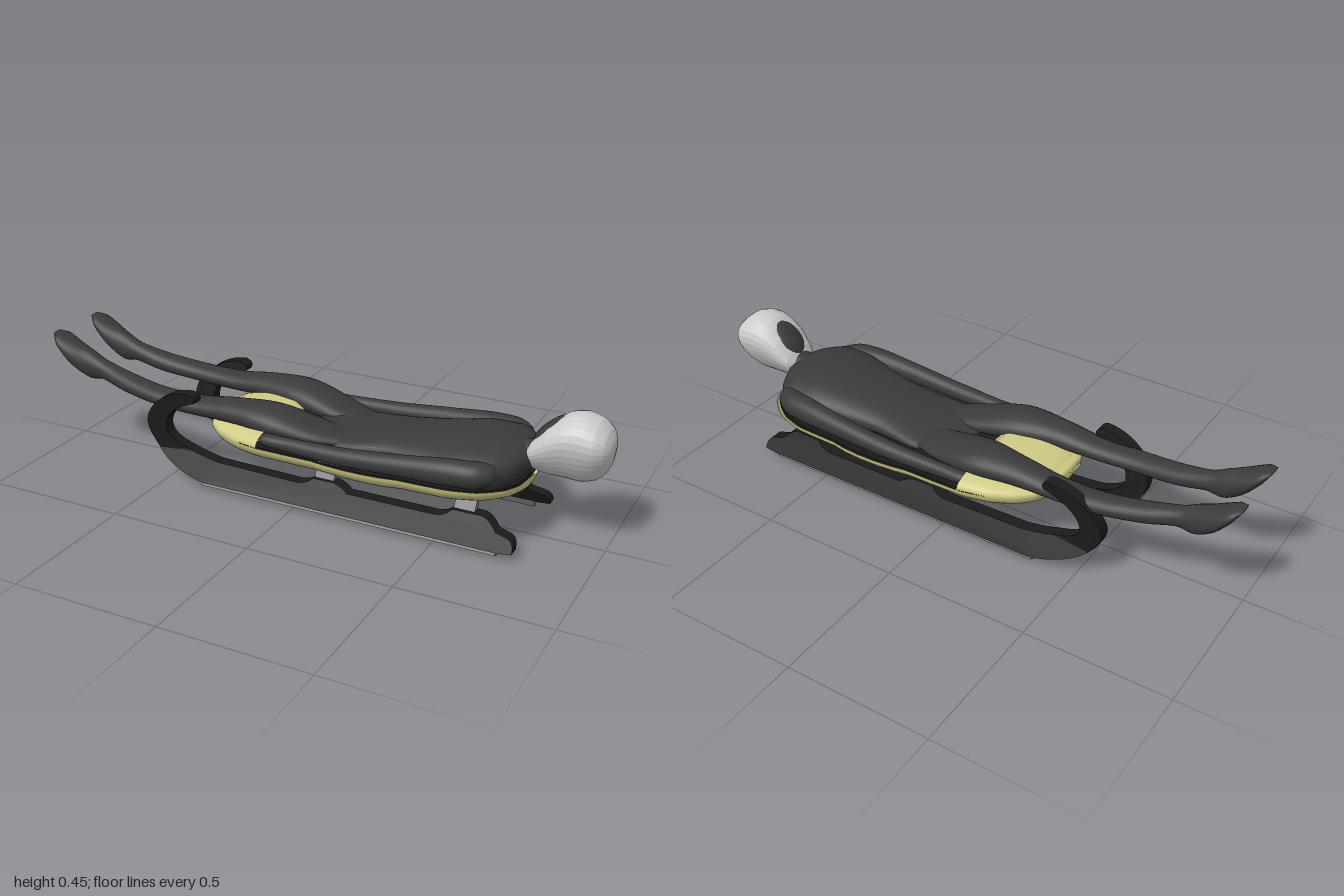
import * as THREE from 'three';

const mat = (color, extra = {}) => new THREE.MeshStandardMaterial({ color, ...extra });
const SUIT = mat(0x3a3a3a);
const BLACK = mat(0x1c1c1c, { side: THREE.DoubleSide });
const TAN = mat(0xcfcb86, { side: THREE.DoubleSide });
const STEEL = mat(0x808080);
const SHELL = mat(0xcccccc, { flatShading: true });

// Lofts ellipse sections [x, y, z, halfHeight, halfWidth] lying along x.
// from/to limit the arc; egg narrows the underside; power squares the section.
function loft(sections, { from = 0, to = Math.PI * 2, seg = 28, steps = 5, egg = 0, power = 2 } = {}) {
  const centre = new THREE.CatmullRomCurve3(sections.map(s => new THREE.Vector3(s[0], s[1], s[2])));
  const radius = new THREE.CatmullRomCurve3(sections.map(s => new THREE.Vector3(s[3], s[4], 0)));
  const closed = to - from > 6.28;
  const cols = closed ? seg : seg + 1;
  const rows = (sections.length - 1) * steps;
  const pos = [], idx = [];
  const round = v => Math.sign(v) * Math.abs(v) ** (2 / power);
  for (let i = 0; i <= rows; i++) {
    const c = centre.getPoint(i / rows), r = radius.getPoint(i / rows);
    for (let j = 0; j < cols; j++) {
      const a = from + (to - from) * j / seg;
      const s = round(Math.sin(a)), k = round(Math.cos(a));
      pos.push(c.x, c.y + Math.max(r.x, 0) * s, c.z + Math.max(r.y, 0) * k * (1 + egg * s));
    }
  }
  for (let i = 0; i < rows; i++) {
    for (let j = 0; j < seg; j++) {
      const a = i * cols + j, b = i * cols + (j + 1) % cols;
      idx.push(a, a + cols, b, b, a + cols, b + cols);
    }
  }
  // Close both ends of a full loft
  if (closed) {
    for (let j = 1; j < seg - 1; j++) {
      const e = rows * cols;
      idx.push(0, j, j + 1, e, e + j + 1, e + j);
    }
  }
  const g = new THREE.BufferGeometry();
  g.setAttribute('position', new THREE.Float32BufferAttribute(pos, 3));
  g.setIndex(idx);
  g.computeVertexNormals();
  return g;
}

// Side outline of one runner: curled bow, flat body, two raised mounts
function runnerGeometry() {
  const s = new THREE.Shape();
  s.moveTo(0.765, 0.03);
  s.quadraticCurveTo(0.765, 0.065, 0.74, 0.07);
  s.lineTo(0.70, 0.08);
  s.quadraticCurveTo(0.67, 0.115, 0.64, 0.115);
  s.lineTo(0.55, 0.115);
  s.quadraticCurveTo(0.53, 0.09, 0.49, 0.09);
  s.lineTo(0.19, 0.09);
  s.quadraticCurveTo(0.16, 0.11, 0.13, 0.112);
  s.lineTo(0.06, 0.112);
  s.quadraticCurveTo(0.04, 0.09, 0, 0.09);
  s.lineTo(-0.30, 0.095);
  s.bezierCurveTo(-0.44, 0.11, -0.51, 0.14, -0.505, 0.19);
  s.bezierCurveTo(-0.50, 0.24, -0.45, 0.28, -0.38, 0.30);
  s.quadraticCurveTo(-0.365, 0.325, -0.40, 0.333);
  s.bezierCurveTo(-0.50, 0.33, -0.58, 0.25, -0.582, 0.19);
  s.bezierCurveTo(-0.58, 0.09, -0.45, 0.04, -0.34, 0.025);
  s.lineTo(0.72, 0.025);
  const g = new THREE.ExtrudeGeometry(s, { depth: 0.042, bevelEnabled: false, curveSegments: 14 });
  // Lean the blade inward as it rises, then outward along the bow
  const p = g.attributes.position;
  for (let i = 0; i < p.count; i++) {
    const y = p.getY(i);
    const z = y < 0.115 ? 0.208 - 0.56 * y : 0.144 + 0.15 * (y - 0.115);
    p.setZ(i, p.getZ(i) - 0.021 + z);
  }
  g.computeVertexNormals();
  return g;
}

export function createModel() {
  const model = new THREE.Group();
  const sled = new THREE.Group(), rider = new THREE.Group();
  sled.name = 'sled';
  rider.name = 'rider';
  model.add(sled, rider);
  const add = (parent, name, geometry, material) => {
    const m = new THREE.Mesh(geometry, material);
    m.name = name;
    parent.add(m);
    return m;
  };

  // Pod: bowl shaped hull [x, halfWidth, depth] with a dark lining
  const RIM = 0.225;
  const plan = [
    [-0.362, 0.02, 0.008], [-0.355, 0.1, 0.03], [-0.33, 0.155, 0.055], [-0.28, 0.2, 0.075],
    [-0.2, 0.24, 0.087], [-0.1, 0.262, 0.09], [0.1, 0.265, 0.09], [0.4, 0.265, 0.09],
    [0.55, 0.26, 0.088], [0.65, 0.235, 0.078], [0.72, 0.18, 0.06], [0.75, 0.12, 0.042], [0.762, 0.02, 0.01],
  ];
  const lower = { from: Math.PI, to: Math.PI * 2 };
  add(sled, 'podHull', loft(plan.map(([x, w, d]) => [x, RIM, 0, d, w]), lower), TAN);
  add(sled, 'podLining',
    loft(plan.map(([x, w, d]) => [0.2 + (x - 0.2) * 0.98, RIM + 0.002, 0, d * 0.9, w * 0.97]), lower), BLACK);

  // Cowl over the front of the pod, with a raised block between the thighs
  const heights = [0.004, 0.018, 0.026, 0.034, 0.043, 0.048];
  const upper = { from: 0, to: Math.PI, power: 2.6 };
  add(sled, 'cowl', loft(heights.map((h, i) => [plan[i][0], RIM, 0, h, plan[i][1]]), upper), TAN);
  add(sled, 'cowlBlock', loft([
    [-0.36, 0.215, 0, 0.006, 0.09], [-0.33, 0.215, 0, 0.038, 0.1], [-0.22, 0.215, 0, 0.064, 0.1],
    [-0.12, 0.215, 0, 0.064, 0.095], [-0.08, 0.215, 0, 0.045, 0.085],
  ], { power: 5 }), TAN);

  // Helmet with a narrow chin, and dark visor facing the sky and the feet
  add(rider, 'helmet', loft([
    [0.735, 0.285, 0, 0.03, 0.045], [0.755, 0.29, 0, 0.056, 0.066], [0.8, 0.312, 0, 0.088, 0.08],
    [0.85, 0.33, 0, 0.106, 0.088], [0.9, 0.334, 0, 0.113, 0.089], [0.95, 0.334, 0, 0.098, 0.086],
    [0.98, 0.336, 0, 0.07, 0.068], [0.995, 0.338, 0, 0.037, 0.04], [1, 0.34, 0, 0.003, 0.003],
  ], { egg: 0.4, steps: 3 }), SHELL);
  const visor = add(rider, 'visor', new THREE.SphereGeometry(1, 28, 18), SUIT);
  visor.scale.set(0.085, 0.034, 0.06);
  visor.position.set(0.812, 0.372, 0);
  visor.rotation.z = 0.72;

  // Reclining torso and neck
  add(rider, 'torso', loft([
    [0, 0.245, 0, 0.006, 0.05], [0.06, 0.24, 0, 0.022, 0.12], [0.15, 0.235, 0, 0.033, 0.155],
    [0.3, 0.24, 0, 0.05, 0.145], [0.45, 0.245, 0, 0.066, 0.165], [0.58, 0.25, 0, 0.082, 0.195],
    [0.66, 0.252, 0, 0.08, 0.195], [0.72, 0.262, 0, 0.058, 0.14], [0.755, 0.275, 0, 0.03, 0.06],
  ], { power: 2.2, seg: 40 }), SUIT);
  add(rider, 'neck', loft([
    [0.66, 0.265, 0, 0.05, 0.075], [0.72, 0.28, 0, 0.043, 0.055], [0.78, 0.3, 0, 0.04, 0.045],
    [0.84, 0.32, 0, 0.04, 0.045],
  ]), SUIT);

  const leg = [
    [-1, 0.433, 0.11, 0.003, 0.022], [-0.97, 0.406, 0.111, 0.027, 0.048], [-0.92, 0.365, 0.11, 0.045, 0.051],
    [-0.86, 0.333, 0.106, 0.051, 0.04], [-0.8, 0.32, 0.106, 0.034, 0.034], [-0.7, 0.296, 0.115, 0.033, 0.042],
    [-0.55, 0.277, 0.13, 0.031, 0.046], [-0.4, 0.272, 0.13, 0.032, 0.05], [-0.25, 0.28, 0.128, 0.041, 0.062],
    [-0.1, 0.272, 0.12, 0.05, 0.085], [0.05, 0.25, 0.1, 0.033, 0.078], [0.16, 0.24, 0.085, 0.016, 0.05],
  ];
  const arm = [
    [-0.12, 0.24, 0.205, 0.006, 0.01], [-0.09, 0.238, 0.208, 0.02, 0.026], [0, 0.235, 0.21, 0.024, 0.024],
    [0.2, 0.237, 0.213, 0.03, 0.03], [0.4, 0.25, 0.211, 0.036, 0.034], [0.55, 0.258, 0.202, 0.044, 0.042],
    [0.63, 0.26, 0.19, 0.043, 0.045], [0.68, 0.262, 0.165, 0.03, 0.04], [0.7, 0.262, 0.15, 0.005, 0.015],
  ];

  // Paired limbs, runners, steels and posts
  for (const [label, sign] of [['left', 1], ['right', -1]]) {
    const flip = s => [s[0], s[1], s[2] * sign, s[3], s[4]];
    add(rider, label + 'HandSideLeg'.replace('HandSide', ''), loft(leg.map(flip)), SUIT);
    add(rider, label + 'Arm', loft(arm.map(flip)), SUIT);

    const runner = add(sled, label + 'Runner', runnerGeometry(), BLACK);
    runner.scale.z = sign;

    const steel = add(sled, label + 'Steel', new THREE.BoxGeometry(1.06, 0.03, 0.025), STEEL);
    steel.position.set(0.18, 0.019, 0.19 * sign);
    steel.rotation.x = -0.5 * sign;

    for (const x of [0.095, 0.585]) {
      const post = add(sled, label + 'Post', new THREE.BoxGeometry(0.07, 0.08, 0.022), STEEL);
      post.position.set(x, 0.125, 0.135 * sign);
      post.rotation.x = -0.5 * sign;
    }
  }
  return model;
}
